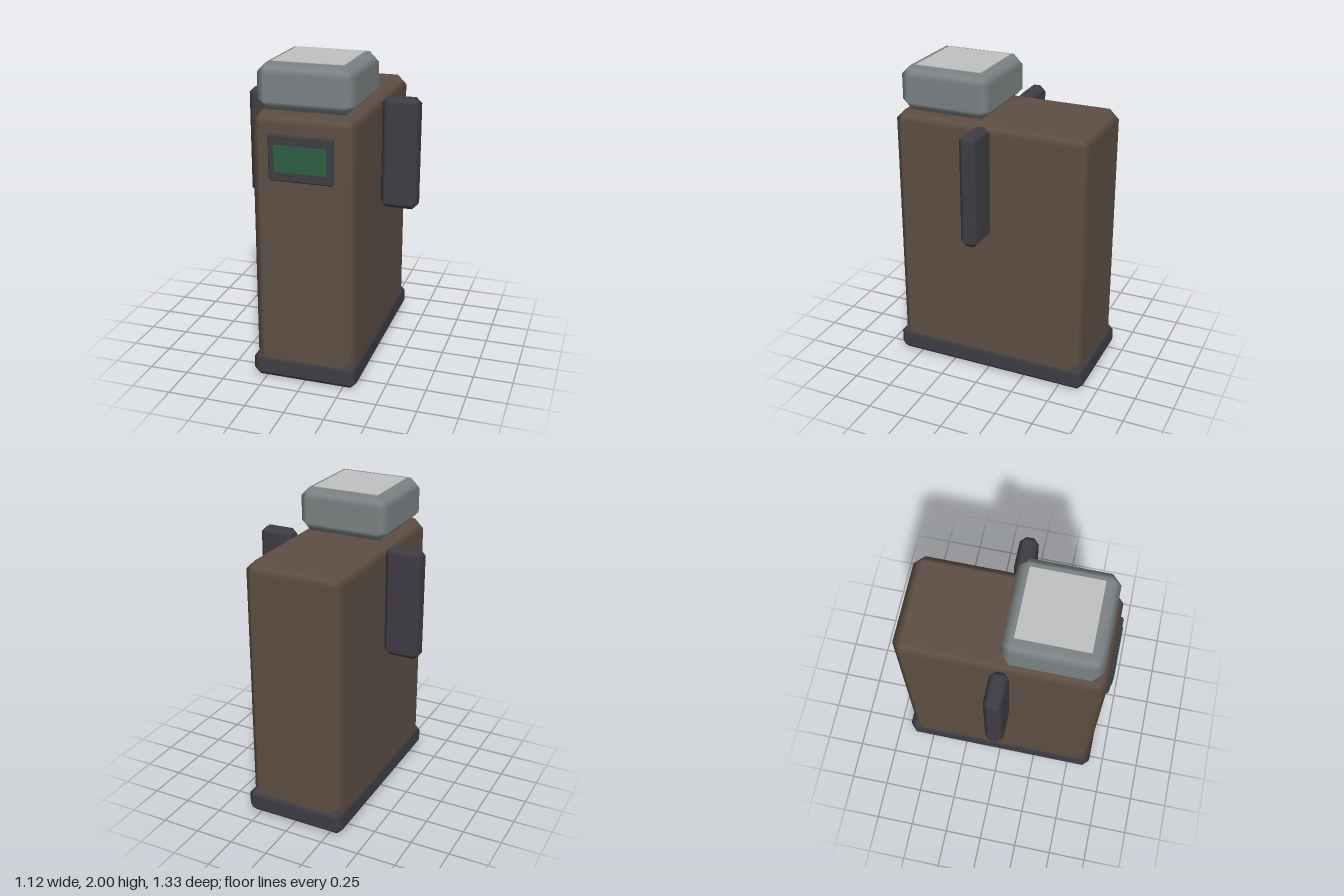
import * as THREE from 'three';

const colour = (name, hex) => {
  const m = new THREE.MeshStandardMaterial({ color: hex });
  m.name = name;
  return m;
};

// Box with one flat chamfer per edge, shaded smoothly across the chamfers.
function chamferBox(w, h, d, c) {
  const geo = new THREE.BoxGeometry(1, 1, 1, 3, 3, 3);
  const p = geo.attributes.position, n = geo.attributes.normal;
  const core = new THREE.Vector3(w / 2 - c, h / 2 - c, d / 2 - c);
  const v = new THREE.Vector3(), s = new THREE.Vector3(), dir = new THREE.Vector3();
  for (let i = 0; i < p.count; i++) {
    v.fromBufferAttribute(p, i);
    s.set(Math.sign(v.x), Math.sign(v.y), Math.sign(v.z));
    // Inner grid lines give 0, outer ones give +-1.
    dir.set(...v.toArray().map((a) => (Math.abs(a) > 0.4 ? Math.sign(a) : 0)));
    v.copy(dir).multiplyScalar(c / dir.manhattanLength()).add(s.multiply(core));
    p.setXYZ(i, v.x, v.y, v.z);
    dir.normalize();
    n.setXYZ(i, dir.x, dir.y, dir.z);
  }
  return geo;
}

export function createModel() {
  const group = new THREE.Group();
  const brown = colour('brown', 0x5d4e43);
  const charcoal = colour('charcoal', 0x3f3d44);
  const grey = colour('grey', 0x7c8284);
  const pale = colour('paleGrey', 0xc0c0c0);
  const green = colour('screenGreen', 0x2e5f44);

  // Adds a part from its [min, max] extents on each axis.
  const add = (name, material, x, y, z, c) => {
    const size = [x, y, z].map(([a, b]) => b - a);
    const geo = c ? chamferBox(...size, c) : new THREE.BoxGeometry(...size);
    const mesh = new THREE.Mesh(geo, material);
    mesh.name = name;
    mesh.position.set(...[x, y, z].map(([a, b]) => (a + b) / 2));
    group.add(mesh);
  };

  // Cabinet on its plinth
  add('base', charcoal, [-0.336, 0.336], [0, 0.16], [-0.664, 0.652], 0.04);
  add('body', brown, [-0.32, 0.32], [0.01, 1.716], [-0.641, 0.635], 0.06);

  // Head with a pale top panel
  add('head', grey, [-0.3, 0.3], [1.716, 1.996], [0, 0.596], 0.06);
  add('topPanel', pale, [-0.22, 0.22], [1.992, 2], [0.072, 0.508]);

  // Side arms
  for (const side of [-1, 1]) {
    const x = side < 0 ? [-0.558, -0.32] : [0.32, 0.558];
    add(side < 0 ? 'rightArm' : 'leftArm', charcoal, x, [1.002, 1.716], [-0.044, 0.072], 0.035);
  }

  // Display on the front
  add('screenFrame', charcoal, [-0.2, 0.2], [1.32, 1.6], [0.628, 0.656], 0.01);
  add('screen', green, [-0.16, 0.16], [1.38, 1.54], [0.655, 0.664]);

  return group;
}
